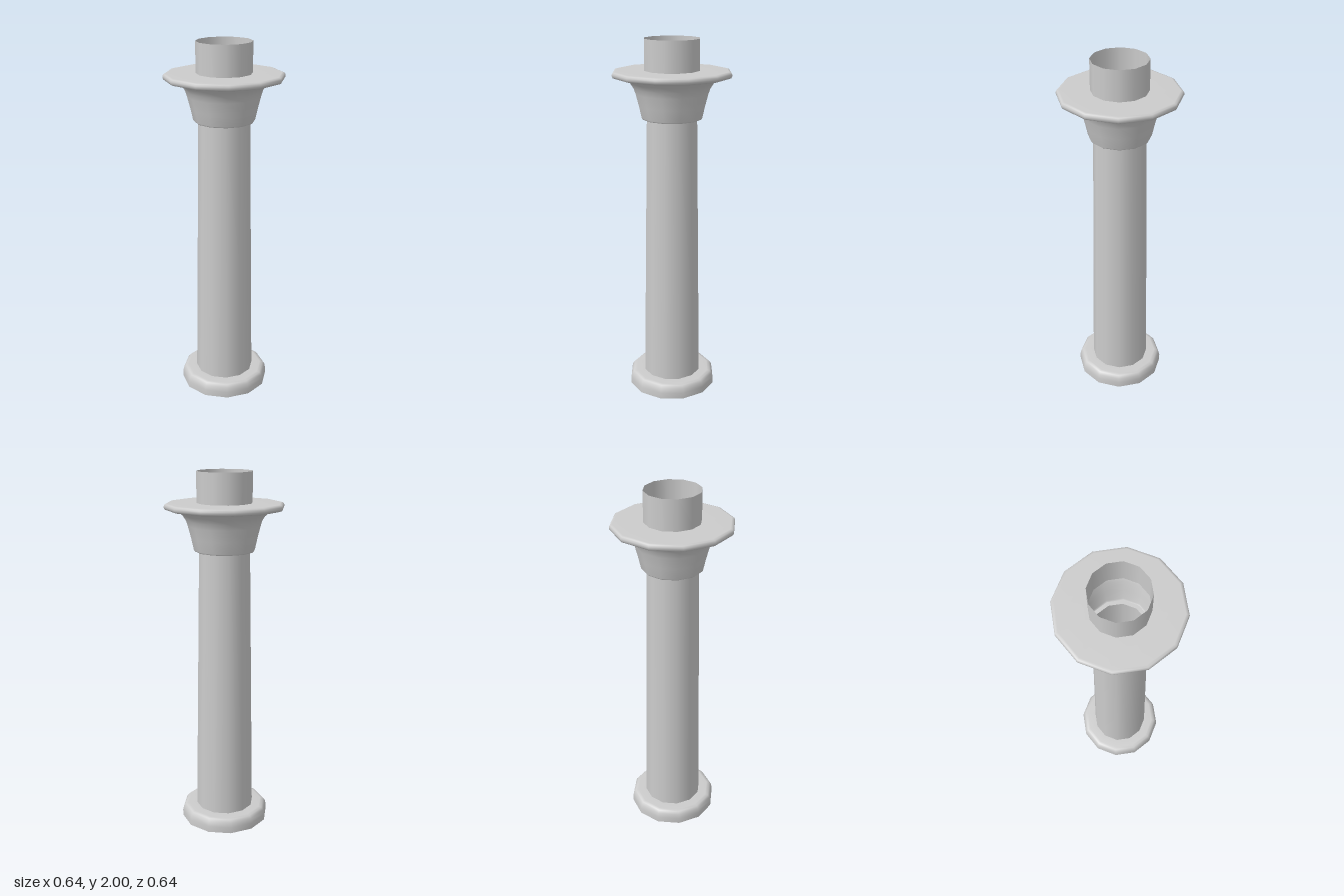
import * as THREE from 'three';

const SIDES = 12;
const material = new THREE.MeshStandardMaterial({ color: 0xcccccc, side: THREE.DoubleSide });

// One turned section; profile is [radius, height] from bottom to top
function turned(name, profile) {
  const points = profile.map(([r, y]) => new THREE.Vector2(r, y));
  const mesh = new THREE.Mesh(new THREE.LatheGeometry(points, SIDES), material);
  mesh.name = name;
  return mesh;
}

export function createModel() {
  const group = new THREE.Group();
  group.name = 'column';

  group.add(
    // Hollow foot with a rounded shoulder
    turned('baseRing', [[0.25, 0], [0.25, 0.035], [0.244, 0.062], [0.232, 0.076], [0.215, 0.08], [0.165, 0.08]]),
    // Tapered hollow shaft
    turned('shaft', [[0.165, 0.08], [0.139, 1.58]]),
    // Ledge under the capital
    turned('capitalLedge', [[0.139, 1.58], [0.16, 1.58]]),
    // Flared capital
    turned('capital', [[0.16, 1.58], [0.166, 1.587], [0.18, 1.65], [0.197, 1.715], [0.207, 1.745],
      [0.225, 1.773], [0.255, 1.8]]),
    // Flange with a softened rim
    turned('flange', [[0.255, 1.8], [0.305, 1.8], [0.317, 1.804], [0.322, 1.813], [0.322, 1.823],
      [0.317, 1.832], [0.305, 1.836], [0.15, 1.836]]),
    // Open collar on top
    turned('collar', [[0.15, 1.836], [0.15, 2]])
  );

  return group;
}
